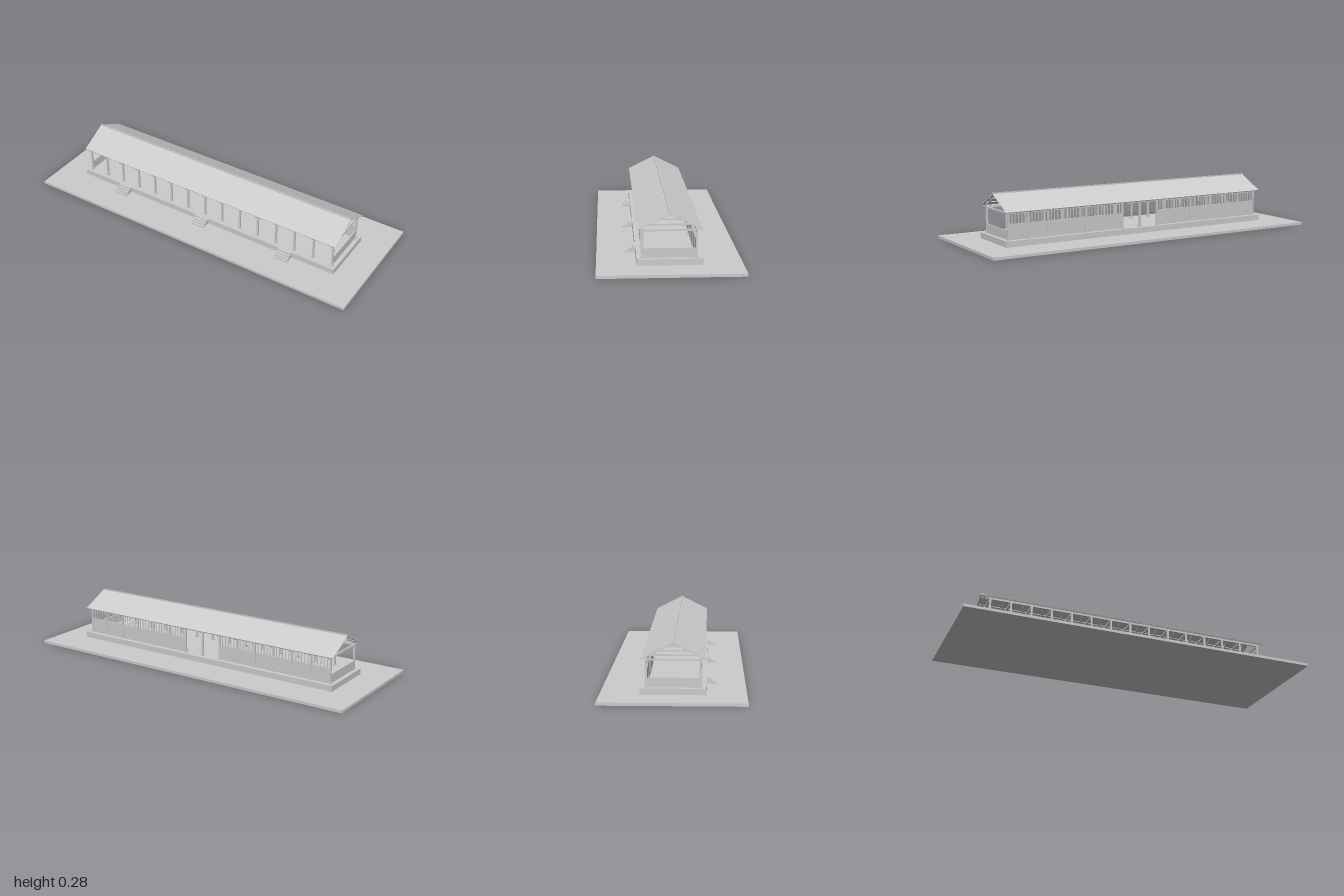
import * as THREE from 'three';

export function createModel() {
  const model = new THREE.Group();
  model.name = 'openPavilion';
  const grey = new THREE.MeshStandardMaterial({ color: 0xcccccc });
  grey.name = 'plain grey';

  // Box given by its centre in x and z and its bottom and top in y
  function block(name, x, z, y0, y1, w, d) {
    const mesh = new THREE.Mesh(new THREE.BoxGeometry(w, y1 - y0, d), grey);
    mesh.name = name;
    mesh.position.set(x, (y0 + y1) / 2, z);
    model.add(mesh);
    return mesh;
  }

  const floor = 0.047, postZ = 0.135, bay = 0.1155, plateTop = 0.194;

  // Ground slab and plinth
  block('groundSlab', 0, 0, 0, 0.015, 2, 0.73);
  block('plinth', 0, 0, 0.015, floor, 1.67, 0.33);

  // Three flights of steps at the front
  for (const x of [-0.54, 0, 0.54]) {
    for (let i = 0; i < 4; i++) {
      const depth = 0.0535 - i * 0.0133;
      block('step', x, 0.165 + depth / 2, 0.015 + i * 0.008, 0.023 + i * 0.008, 0.08, depth);
    }
  }

  // Posts on base blocks, with a tie beam across each pair
  for (let i = -7; i <= 7; i++) {
    const x = i * bay;
    for (const z of [-postZ, postZ]) {
      block('postBase', x, z, floor, 0.055, 0.017, 0.017);
      block('post', x, z, 0.055, 0.185, 0.01, 0.01);
    }
    block('tieBeam', x, 0, 0.183, 0.192, 0.008, 0.27);
  }

  // Long plates on top of the posts
  for (const z of [-postZ, postZ]) block('wallPlate', 0, z, 0.184, plateTop, 1.63, 0.01);

  // Back wall panels with a barred opening above; the two middle bays stay open
  for (let i = -7; i < 7; i++) {
    if (i === -1 || i === 0) continue;
    const x = (i + 0.5) * bay;
    block('backWall', x, -postZ, floor, 0.132, bay - 0.01, 0.006);
    for (let j = 1; j <= 5; j++) {
      block('grilleBar', i * bay + (j * bay) / 6, -postZ, 0.132, 0.185, 0.004, 0.004);
    }
  }

  // Low end walls
  for (const x of [-7 * bay, 7 * bay]) block('endWall', x, 0, floor, 0.097, 0.006, 0.26);

  // Sloping bar along the roof line, dropped below the roof surface
  const run = 0.16, ridgeY = 0.277, eaveY = 0.197;
  const slope = Math.atan2(ridgeY - eaveY, run);
  const length = Math.hypot(run, ridgeY - eaveY);
  function slopingPart(name, side, x, width, thick, drop) {
    const y = (ridgeY + eaveY) / 2 - (drop + thick / 2) / Math.cos(slope);
    const mesh = block(name, x, side * run / 2, y - thick / 2, y + thick / 2, width, length);
    mesh.rotation.x = side * slope;
  }

  // Roof sheets, rafters and purlins
  for (const side of [-1, 1]) {
    slopingPart('roofSheet', side, 0, 1.666, 0.004, 0);
    for (let i = -7; i <= 7; i++) slopingPart('rafter', side, i * bay, 0.008, 0.006, 0.004);
    for (const t of [0.08, 0.36, 0.64, 0.95]) {
      const y = ridgeY - t * (ridgeY - eaveY) - 0.007;
      const purlin = block('purlin', 0, side * t * run, y - 0.0025, y + 0.0025, 1.65, 0.006);
      purlin.rotation.x = side * slope;
    }
  }

  // Ridge beam and ridge cap
  block('ridgeBeam', 0, 0, 0.263, 0.272, 1.65, 0.006);
  block('ridgeCap', 0, 0, 0.274, 0.282, 1.666, 0.005);

  return model;
}
